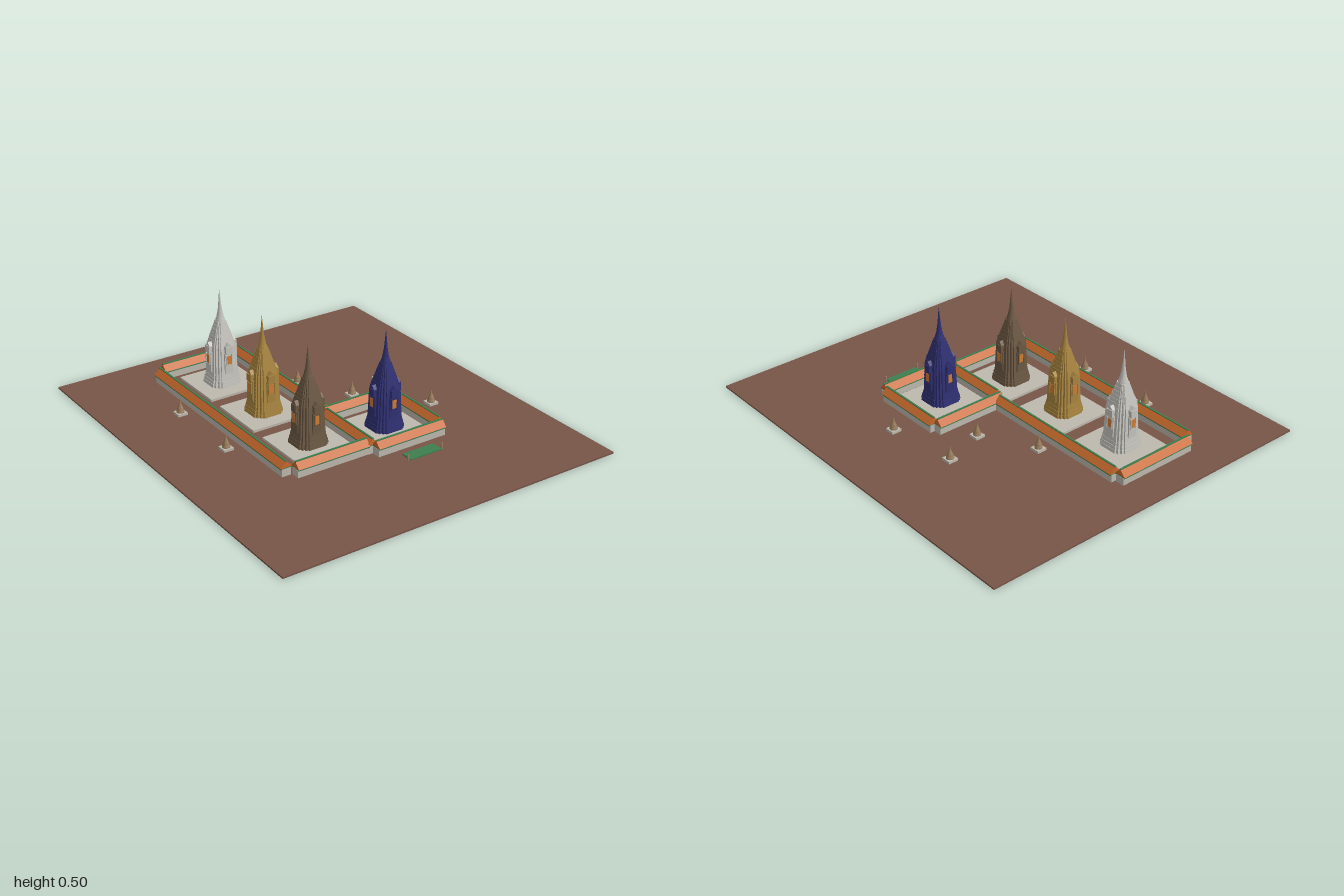
import * as THREE from 'three';

const paint = (name, color) => {
  const m = new THREE.MeshStandardMaterial({ color });
  m.name = name;
  return m;
};

export function createModel() {
  const earth = paint('earth brown', 0x795548);
  const plaster = paint('pale plaster', 0xbdb9ae);
  const tile = paint('orange roof tile', 0xc8692c);
  const green = paint('green trim', 0x3f7d4f);
  const white = paint('white tile', 0xc4c3bd);
  const gold = paint('gold tile', 0xa8843f);
  const brown = paint('brown tile', 0x6b5843);
  const blue = paint('blue tile', 0x2f3072);
  const amber = paint('amber niche', 0xd07c32);
  const stone = paint('small shrine stone', 0x9a7d5c);

  const model = new THREE.Group();
  model.name = 'templeCourt';

  const add = (parent, name, geo, mat, x = 0, y = 0, z = 0) => {
    const m = new THREE.Mesh(geo, mat);
    m.name = name;
    m.position.set(x, y, z);
    parent.add(m);
    return m;
  };
  // box standing on height y
  const box = (parent, name, mat, w, h, d, x, y, z) =>
    add(parent, name, new THREE.BoxGeometry(w, h, d), mat, x, y + h / 2, z);

  // Ground
  box(model, 'ground', earth, 1.764, 0.008, 2, 0, 0, 0);

  // Square outline with stepped corners, half width 1
  const quarter = [[1, 0.58], [0.9, 0.58], [0.9, 0.74], [0.74, 0.74], [0.74, 0.9], [0.58, 0.9], [0.58, 1]];
  const outline = [];
  for (let q = 0; q < 4; q++) {
    for (const [x, y] of quarter) {
      outline.push(new THREE.Vector2(x, y).rotateAround(new THREE.Vector2(), q * Math.PI / 2));
    }
  }
  const section = new THREE.Shape(outline);

  // Stepped block tapering from half width w0 to w1
  const tier = (parent, name, mat, y0, y1, w0, w1) => {
    const g = new THREE.ExtrudeGeometry(section, { depth: 1, bevelEnabled: false });
    g.rotateX(-Math.PI / 2);
    const p = g.attributes.position;
    for (let i = 0; i < p.count; i++) {
      const t = p.getY(i), w = w0 + (w1 - w0) * t;
      p.setXYZ(i, p.getX(i) * w, y0 + (y1 - y0) * t, p.getZ(i) * w);
    }
    g.computeVertexNormals();
    return add(parent, name, g, mat);
  };

  // Triangular prism along x, standing on y = 0
  const gable = (length, width, height) => {
    const s = new THREE.Shape([
      new THREE.Vector2(-width / 2, 0), new THREE.Vector2(width / 2, 0), new THREE.Vector2(0, height)]);
    const g = new THREE.ExtrudeGeometry(s, { depth: length, bevelEnabled: false });
    g.translate(0, 0, -length / 2);
    g.rotateY(Math.PI / 2);
    return g;
  };

  // Great towers
  const tower = (name, mat, x, z) => {
    const t = new THREE.Group();
    t.name = name;
    t.position.set(x, 0, z);
    model.add(t);
    box(t, 'terrace', plaster, 0.3, 0.012, 0.3, 0, 0.008, 0);
    // base steps
    [[0.02, 0.036, 0.079], [0.036, 0.052, 0.075], [0.052, 0.07, 0.071]]
      .forEach(([a, b, w]) => tier(t, 'baseStep', mat, a, b, w, w - 0.002));
    // body courses
    for (let i = 0; i < 8; i++) {
      const y = 0.07 + i * 0.0188, w = 0.068 - i * 0.0008;
      tier(t, 'bodyCourse', mat, y, y + 0.0188, w, w - 0.002);
    }
    // receding upper courses
    for (let i = 0; i < 7; i++) {
      const y = 0.22 + i * 0.0175, w = 0.06 - i * 0.0053;
      tier(t, 'upperCourse', mat, y, y + 0.0175, w, w - 0.004);
    }
    // spire
    const prof = [[0.024, 0.342], [0.021, 0.356], [0.018, 0.36], [0.016, 0.374], [0.014, 0.378],
      [0.012, 0.394], [0.0105, 0.397], [0.006, 0.44], [0.003, 0.475], [0, 0.505]];
    add(t, 'spire', new THREE.LatheGeometry(prof.map(([r, y]) => new THREE.Vector2(r, y)), 12), mat);
    // four porches with niches
    for (let k = 0; k < 4; k++) {
      const porch = new THREE.Group();
      porch.name = 'porch';
      porch.rotation.y = k * Math.PI / 2;
      t.add(porch);
      box(porch, 'porchBody', mat, 0.044, 0.105, 0.02, 0, 0.09, 0.062);
      box(porch, 'porchHood', mat, 0.036, 0.036, 0.032, 0, 0.192, 0.062);
      const roof = add(porch, 'porchGable', gable(0.03, 0.034, 0.018), mat, 0, 0.228, 0.059);
      roof.rotation.y = Math.PI / 2;
      box(porch, 'niche', amber, 0.024, 0.042, 0.004, 0, 0.138, 0.0725);
      for (const s of [-1, 1]) box(porch, 'nichePost', mat, 0.005, 0.055, 0.008, s * 0.0155, 0.132, 0.073);
    }
  };
  tower('whiteTower', white, -0.2, -0.59);
  tower('goldTower', gold, -0.2, -0.212);
  tower('brownTower', brown, -0.2, 0.163);
  tower('blueTower', blue, 0.175, 0.233);

  // Galleries around the courts: centre, length, and whether they run along z
  const gallery = (x, z, length, alongZ) => {
    const g = new THREE.Group();
    g.name = 'gallery';
    g.position.set(x, 0, z);
    if (alongZ) g.rotation.y = Math.PI / 2;
    model.add(g);
    box(g, 'galleryWall', plaster, length, 0.038, 0.046, 0, 0.008, 0);
    box(g, 'eaveTrim', green, length - 0.002, 0.006, 0.058, 0, 0.044, 0);
    add(g, 'galleryRoof', gable(length, 0.06, 0.032), tile, 0, 0.05, 0);
    box(g, 'ridgeTrim', green, length, 0.004, 0.009, 0, 0.079, 0);
  };
  gallery(-0.44, -0.213, 1.13, true);
  gallery(0.01, -0.388, 0.775, true);
  gallery(-0.2, -0.803, 0.42, false);
  gallery(-0.22, 0.375, 0.38, false);
  gallery(0.175, 0.021, 0.375, false);
  gallery(0.175, 0.423, 0.375, false);
  gallery(-0.012, 0.22, 0.36, true);
  gallery(0.364, 0.22, 0.36, true);

  // Small shrines outside the galleries
  const bell = [[0.019, 0.02], [0.019, 0.028], [0.015, 0.03], [0.015, 0.038], [0.012, 0.046],
    [0.008, 0.054], [0.008, 0.058], [0.005, 0.062], [0.003, 0.074], [0, 0.09]]
    .map(([r, y]) => new THREE.Vector2(r, y));
  const spots = [[-0.532, -0.415], [-0.532, -0.002], [0.103, -0.38], [0.244, -0.12], [0.456, -0.19], [0.503, 0.163]];
  for (const [x, z] of spots) {
    const s = new THREE.Group();
    s.name = 'smallShrine';
    s.position.set(x, 0, z);
    model.add(s);
    box(s, 'shrinePlinth', plaster, 0.05, 0.012, 0.05, 0, 0.008, 0);
    add(s, 'shrineBell', new THREE.LatheGeometry(bell, 12), stone);
  }

  // Green forecourt with two guardian posts
  box(model, 'lawn', green, 0.174, 0.006, 0.062, 0.174, 0.008, 0.518);
  for (const s of [-1, 1]) {
    const x = 0.174 + s * 0.095;
    add(model, 'guardianPost', new THREE.CylinderGeometry(0.004, 0.006, 0.022, 8), stone, x, 0.019, 0.54);
    add(model, 'guardianHead', new THREE.SphereGeometry(0.0045, 8, 6), stone, x, 0.033, 0.54);
  }

  return model;
}
